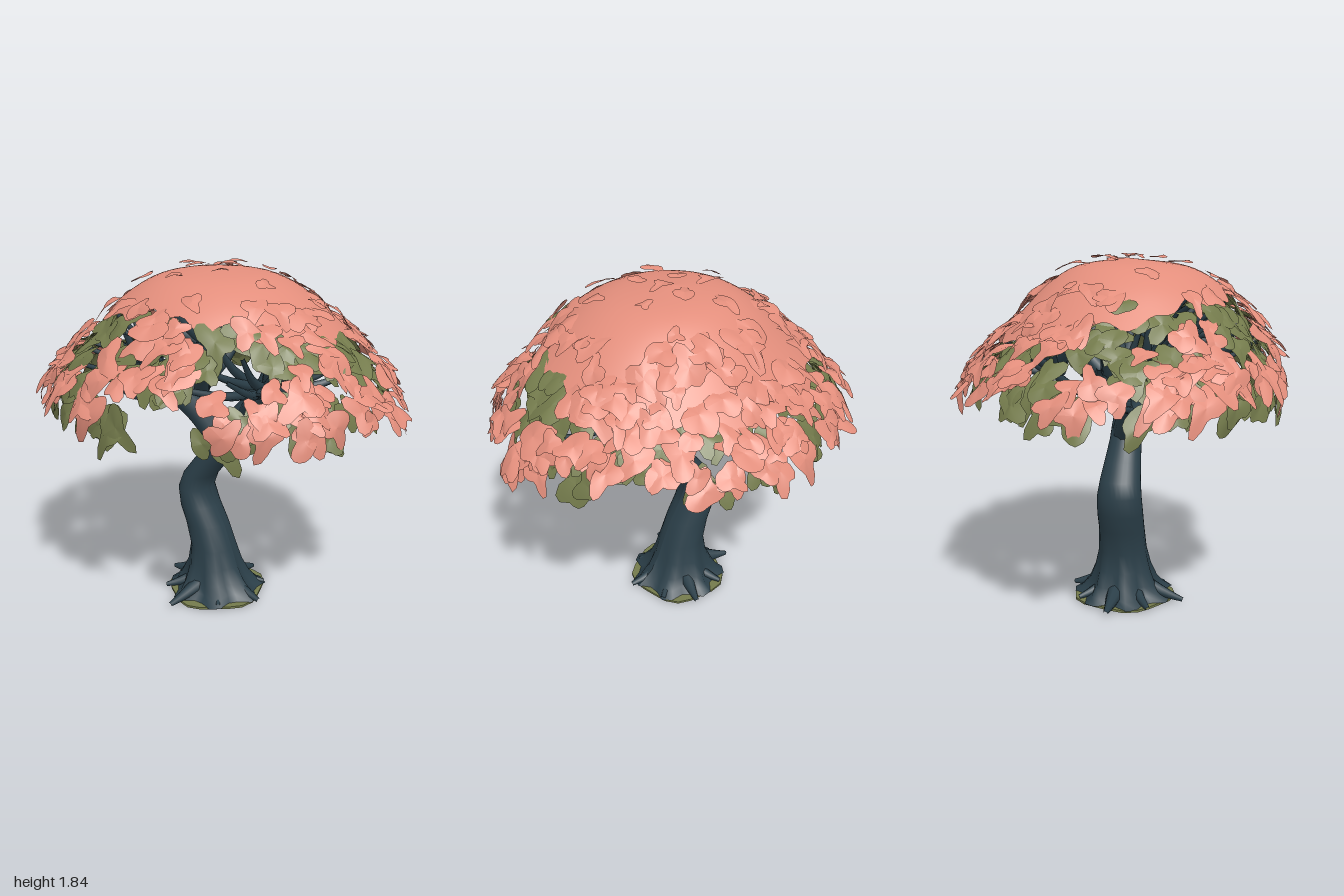
import * as THREE from 'three';
import { mergeGeometries } from 'three/addons/utils/BufferGeometryUtils.js';

const V = (x, y, z) => new THREE.Vector3(x, y, z);
let seed = 11;
const rnd = (a = 0, b = 1) => {
  seed = (seed * 16807) % 2147483647;
  return a + (b - a) * seed / 2147483647;
};

// Grid of points with rows x cols quads
function surface(rows, cols, at) {
  const pos = [], idx = [];
  for (let i = 0; i <= rows; i++) for (let j = 0; j <= cols; j++) pos.push(...at(i, j).toArray());
  for (let i = 0; i < rows; i++) for (let j = 0; j < cols; j++) {
    const a = i * (cols + 1) + j, b = a + cols + 1;
    idx.push(a, a + 1, b, a + 1, b + 1, b);
  }
  const g = new THREE.BufferGeometry();
  g.setAttribute('position', new THREE.Float32BufferAttribute(pos, 3));
  g.setIndex(idx);
  g.computeVertexNormals();
  return g;
}

// Tube that narrows from r0 to r1
function taperedTube(points, r0, r1, segs = 10, sides = 8) {
  const curve = new THREE.CatmullRomCurve3(points);
  const g = new THREE.TubeGeometry(curve, segs, 1, sides);
  const p = g.attributes.position, v = V();
  for (let i = 0; i < p.count; i++) {
    const u = Math.floor(i / (sides + 1)) / segs, c = curve.getPointAt(u);
    v.fromBufferAttribute(p, i).sub(c).multiplyScalar(r0 + (r1 - r0) * u).add(c);
    p.setXYZ(i, v.x, v.y, v.z);
  }
  return g;
}

// Canopy dome: radius/height profile swept around, leaning forward, narrower in z at the rim
const profile = new THREE.CatmullRomCurve3([
  V(0, 1.82, 0), V(0.3, 1.775, 0), V(0.46, 1.69, 0), V(0.61, 1.56, 0),
  V(0.76, 1.41, 0), V(0.89, 1.27, 0), V(0.945, 1.13, 0)]);
const dome = (a, t) => {
  const k = Math.min(Math.max(t, 0), 1), p = profile.getPointAt(k), lean = Math.sin(k * Math.PI);
  return V(p.x * Math.cos(a) + 0.03 * lean, p.y, p.x * Math.sin(a) * (1 - 0.12 * k) + 0.045 * lean);
};

// One wavy lobed leaf clump lying on the dome
function leaf(a, t, size, lift, tilt) {
  const c = dome(a, t);
  const down = dome(a, t + 0.02).sub(dome(a, t - 0.02)).normalize();
  const side = V(-Math.sin(a), 0, Math.cos(a) * 0.9).normalize();
  const n = V().crossVectors(side, down).normalize();
  down.addScaledVector(n, tilt).normalize();
  n.crossVectors(side, down).normalize();
  const p = rnd(0, 6.28), q = rnd(0, 6.28), spin = rnd(-0.8, 0.8), long = rnd(1.1, 1.8);
  return surface(3, 20, (i, j) => {
    const b = -j / 20 * Math.PI * 2;
    const r = i / 3 * size * (1 + 0.26 * Math.sin(3 * b + p) + 0.15 * Math.sin(4 * b + q));
    const x = r * Math.cos(b), y = r * Math.sin(b) * long;
    const u = x * Math.cos(spin) - y * Math.sin(spin), v = x * Math.sin(spin) + y * Math.cos(spin);
    const h = lift - 1.3 * (u * u + v * v) + 0.15 * r * Math.sin(2 * b + q);
    return c.clone().addScaledVector(side, u).addScaledVector(down, v).addScaledVector(n, h);
  });
}

export function createModel() {
  const bark = new THREE.MeshStandardMaterial({ name: 'bark', color: 0x2b3f49 });
  const pink = new THREE.MeshStandardMaterial({ name: 'pinkFoliage', color: 0xe38e7c, side: THREE.DoubleSide });
  const olive = new THREE.MeshStandardMaterial({ name: 'oliveFoliage', color: 0x747b4c, side: THREE.DoubleSide });
  const tree = new THREE.Group();
  tree.name = 'tree';
  const add = (name, geometry, material) => {
    const m = new THREE.Mesh(geometry, material);
    m.name = name;
    tree.add(m);
  };

  // Bent trunk: y, centre x, half width, half depth, root lobes
  const rings = [
    [0.01, -0.02, 0.25, 0.25, 0.13], [0.04, -0.02, 0.215, 0.205, 0.13], [0.09, -0.03, 0.18, 0.175, 0.1],
    [0.17, -0.035, 0.145, 0.15, 0.05], [0.27, -0.045, 0.123, 0.13, 0.02], [0.4, -0.085, 0.115, 0.122, 0],
    [0.5, -0.13, 0.105, 0.122, 0], [0.6, -0.155, 0.09, 0.118, 0], [0.68, -0.125, 0.092, 0.108, 0],
    [0.77, -0.055, 0.094, 0.096, 0], [0.86, 0.022, 0.088, 0.086, 0], [0.94, 0.06, 0.09, 0.08, 0],
    [1.02, 0.1, 0.078, 0.072, 0], [1.08, 0.14, 0.05, 0.05, 0]];
  add('trunk', surface(rings.length - 1, 28, (i, j) => {
    const [y, cx, rx, rz, lobe] = rings[i], a = -j / 28 * Math.PI * 2;
    const k = 1 + lobe * Math.sin(7 * a + 0.6);
    return V(cx + rx * k * Math.cos(a), y, rz * k * Math.sin(a));
  }), bark);

  // Spreading roots: angle, reach, thickness
  const roots = [[0.1, 0.3, 0.055], [0.95, 0.25, 0.05], [1.8, 0.35, 0.06], [2.5, 0.29, 0.055],
    [3.25, 0.33, 0.075], [4.1, 0.27, 0.05], [4.9, 0.3, 0.065], [5.6, 0.27, 0.05]];
  add('roots', mergeGeometries(roots.map(([a, r, w]) => {
    const at = (k, y) => V(-0.02 + r * k * Math.cos(a), y, r * k * Math.sin(a));
    return taperedTube([at(0.1, 0.1), at(0.45, 0.065), at(0.75, 0.036), at(0.99, 0.018)], w, 0.012, 8, 8);
  })), bark);

  // Ground patch under the trunk
  const patch = new THREE.CylinderGeometry(1, 1, 0.012, 22);
  const pp = patch.attributes.position;
  for (let i = 0; i < pp.count; i++) {
    const a = Math.atan2(pp.getZ(i), pp.getX(i)), k = 1 + 0.05 * Math.sin(5 * a);
    pp.setXYZ(i, pp.getX(i) * 0.26 * k - 0.02, pp.getY(i) + 0.006, pp.getZ(i) * 0.27 * k);
  }
  add('groundPatch', patch, olive);

  // Main limbs: start radius, end radius, path
  const limbs = [
    [0.078, 0.05, V(0.03, 0.88, 0), V(-0.09, 1.04, 0.05), V(-0.18, 1.14, 0.1), V(-0.27, 1.25, 0.14)],
    [0.078, 0.05, V(0.09, 0.98, 0), V(0.17, 1.08, -0.01), V(0.25, 1.19, -0.03), V(0.29, 1.3, -0.05)],
    [0.05, 0.035, V(-0.14, 1.1, 0.06), V(-0.12, 1.2, -0.05), V(-0.08, 1.3, -0.16), V(-0.06, 1.4, -0.25)],
    [0.05, 0.035, V(0.17, 1.08, 0), V(0.28, 1.16, 0.1), V(0.38, 1.22, 0.16), V(0.44, 1.3, 0.2)],
    [0.042, 0.03, V(0.2, 1.12, 0), V(0.27, 1.17, -0.14), V(0.33, 1.23, -0.25), V(0.38, 1.3, -0.32)],
    [0.04, 0.025, V(-0.15, 1.09, 0.08), V(-0.28, 1.1, 0.06), V(-0.4, 1.16, 0.03), V(-0.47, 1.24, 0)],
    [0.042, 0.028, V(-0.1, 1.16, 0.02), V(-0.05, 1.26, 0.08), V(0.02, 1.38, 0.13), V(0.05, 1.46, 0.15)],
    [0.036, 0.02, V(-0.16, 1.1, 0), V(-0.25, 1.15, -0.12), V(-0.36, 1.22, -0.22), V(-0.42, 1.3, -0.28)],
    [0.036, 0.012, V(-0.17, 1.12, 0.1), V(-0.32, 1.11, 0.12), V(-0.48, 1.1, 0.14), V(-0.6, 1.15, 0.14), V(-0.73, 1.18, 0.12)],
    [0.036, 0.012, V(0.24, 1.17, 0), V(0.36, 1.15, 0), V(0.5, 1.14, 0.02), V(0.6, 1.14, 0.03), V(0.7, 1.2, 0.04)]];
  add('limbs', mergeGeometries(limbs.map(([r0, r1, ...pts]) => taperedTube(pts, r0, r1, 12, 10))), bark);

  // Twigs fan from the nearest limb tip up to the dome
  const tips = limbs.slice(0, 8).map(l => l[l.length - 1]);
  const twigs = [];
  for (let i = 0; i < 76; i++) {
    const end = dome(i * 2.39996, 0.15 + 0.6 * Math.sqrt(i / 76)).multiplyScalar(0.97);
    const tip = tips.reduce((m, p) => p.distanceTo(end) < m.distanceTo(end) ? p : m);
    const mid = tip.clone().lerp(end, 0.5).add(V(rnd(-0.03, 0.03), rnd(-0.04, 0.01), rnd(-0.03, 0.03)));
    twigs.push(taperedTube([tip.clone().lerp(V(0, 1.1, 0), 0.1), mid, end], 0.032, 0.01, 7, 6));
  }
  add('twigs', mergeGeometries(twigs), bark);

  // Smooth crown, reaching lower at the back
  add('crown', surface(16, 120, (i, j) => {
    const a = j / 120 * Math.PI * 2;
    const edge = 0.59 - 0.14 * Math.sin(a) + 0.025 * Math.sin(7 * a) + 0.02 * Math.sin(17 * a + 1);
    return dome(a, i / 16 * edge);
  }), pink);

  // Ragged leaf clumps: open at the front centre, olive patches around the front and sides
  const pinkLeaves = [], oliveLeaves = [];
  const open = (a, t) => Math.abs(Math.cos(a) - 0.2) < 0.2 && Math.sin(a) > 0 && t > 0.76;
  const olivePatch = (a, t) => Math.sin(a) > -0.5 && t > 0.48 && t < 0.82 && Math.cos(6 * (a - 1)) > 0.3;
  for (let i = 0; i < 250; i++) {
    const a = i * 2.39996 + rnd(-0.1, 0.1), t = 0.36 + 0.6 * Math.pow(rnd(), 0.6);
    if (open(a, t) || olivePatch(a, t)) continue;
    pinkLeaves.push(leaf(a, t, rnd(0.045, 0.08), rnd(0.01, 0.035), rnd(-0.1, 0.2 + 0.4 * t)));
  }
  for (let i = 0; i < 14; i++) {
    pinkLeaves.push(leaf(i * 2.4, 0.05 + 0.03 * i, rnd(0.03, 0.048), 0.025, rnd(0, 0.3)));
  }
  for (let i = 0; i < 190; i++) {
    const a = i * 2.39996 + 0.5, t = rnd(0.48, 0.98), inPatch = olivePatch(a, t);
    if (open(a, t)) continue;
    const lift = inPatch ? rnd(-0.02, 0.015) : rnd(-0.06, -0.015);
    oliveLeaves.push(leaf(a, t, rnd(0.05, 0.08), lift, rnd(-0.1, 0.25)));
  }
  add('pinkLeaves', mergeGeometries(pinkLeaves), pink);
  add('oliveLeaves', mergeGeometries(oliveLeaves), olive);
  return tree;
}
